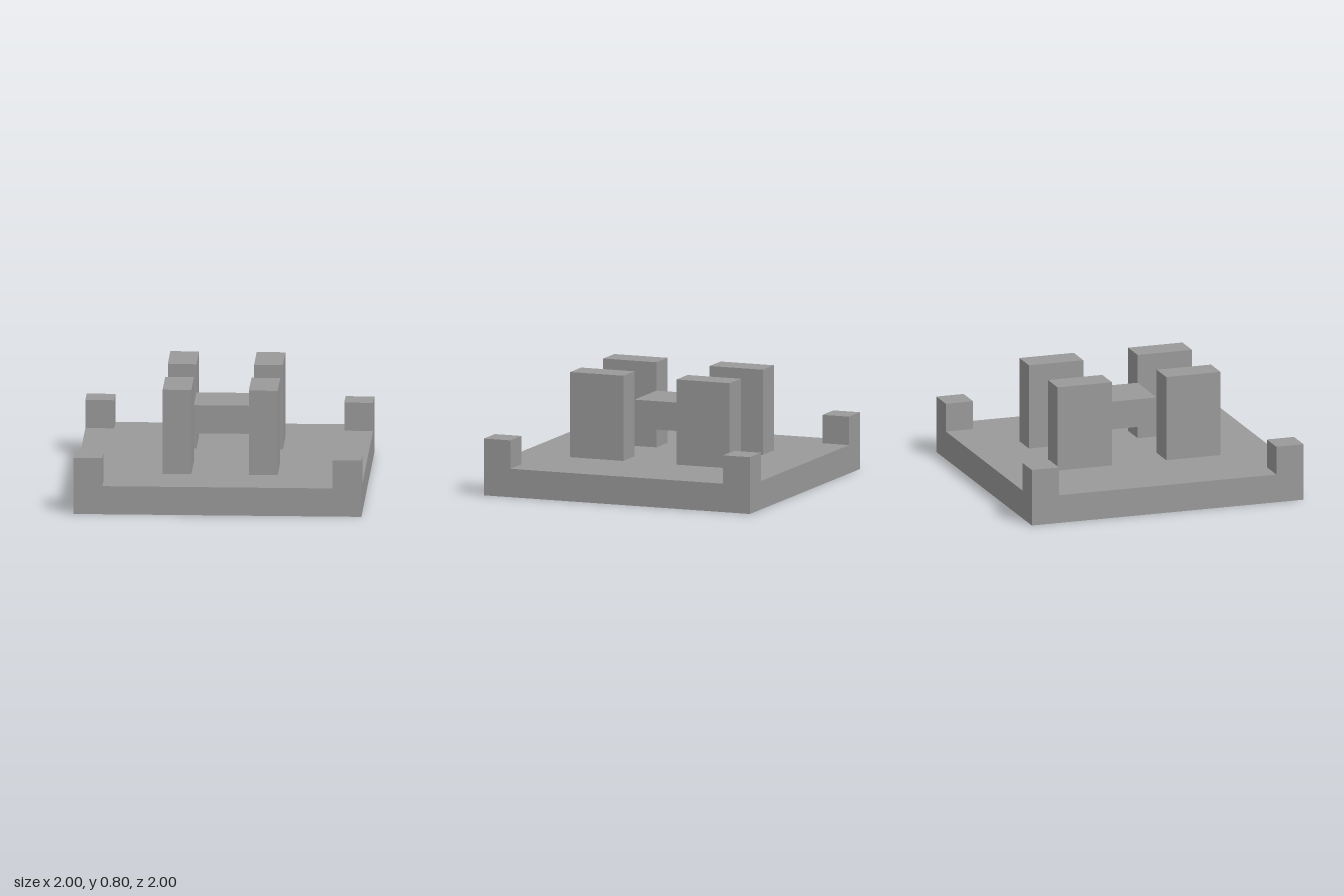
import * as THREE from 'three';

export function createModel() {
  const model = new THREE.Group();
  const material = new THREE.MeshStandardMaterial({ color: 0x999999 });

  // Box standing with its underside at height y
  const addBox = (name, [w, h, d], x, y, z) => {
    const mesh = new THREE.Mesh(new THREE.BoxGeometry(w, h, d), material);
    mesh.name = name;
    mesh.position.set(x, y + h / 2, z);
    model.add(mesh);
  };

  addBox('basePlate', [2, 0.2, 2], 0, 0, 0);

  // Corner posts and inner pillars, mirrored to all four quadrants
  for (const sx of [-1, 1]) {
    for (const sz of [-1, 1]) {
      const place = (sz > 0 ? 'front' : 'back') + (sx > 0 ? 'Left' : 'Right');
      addBox(place + 'CornerPost', [0.2, 0.2, 0.2], sx * 0.9, 0.2, sz * 0.9);
      addBox(place + 'Pillar', [0.2, 0.6, 0.4], sx * 0.3, 0.2, sz * 0.4);
    }
  }

  // Raised block held between the inner corners of the pillars
  addBox('centreBlock', [0.4, 0.2, 0.4], 0, 0.4, 0);

  return model;
}
